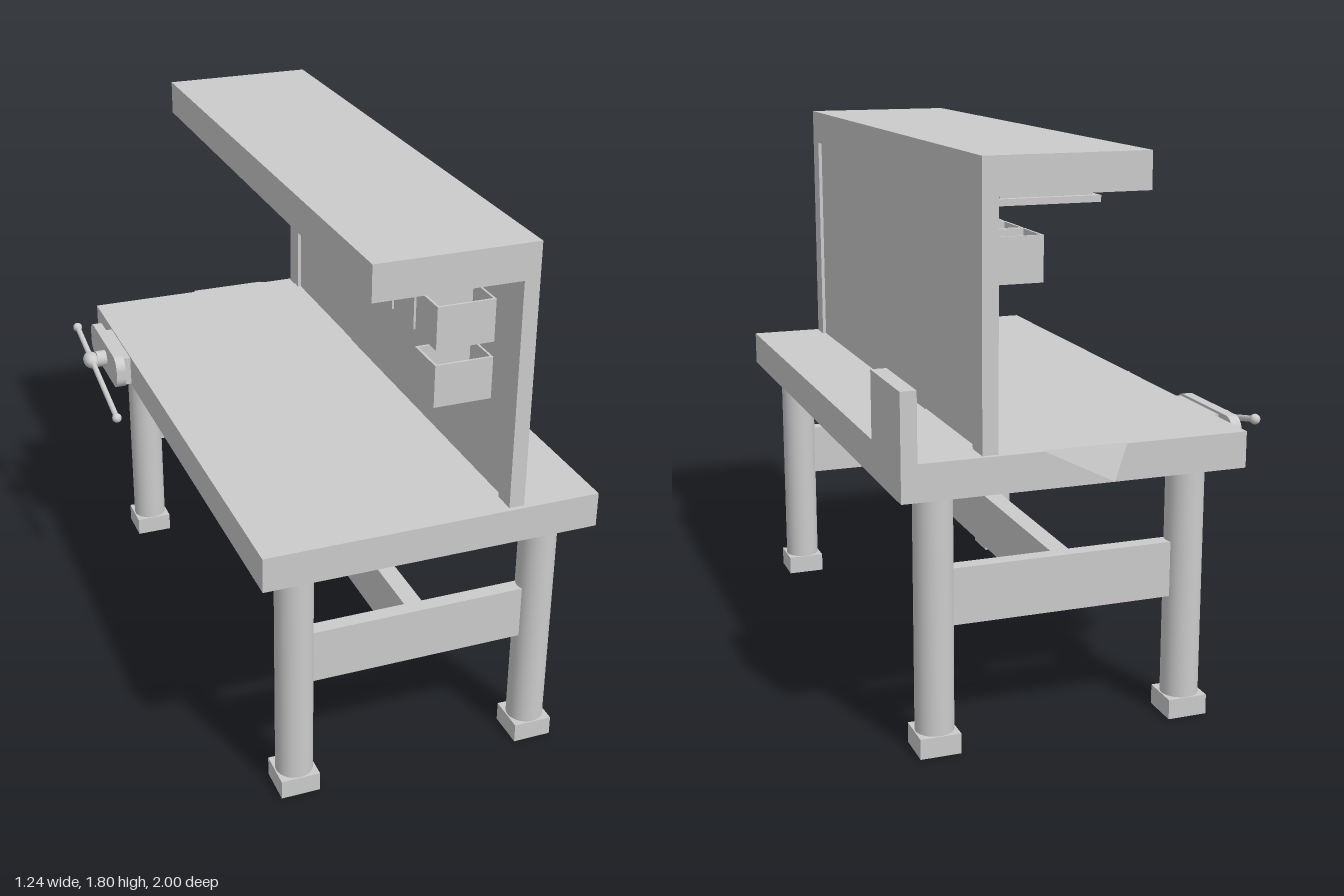
import * as THREE from 'three';

const grey = new THREE.MeshStandardMaterial({ color: 0xcccccc });
const thin = new THREE.MeshStandardMaterial({ color: 0xcccccc, side: THREE.DoubleSide });

export function createModel() {
  const model = new THREE.Group();

  const add = (name, geometry, material = grey, parent = model) => {
    const mesh = new THREE.Mesh(geometry, material);
    mesh.name = name;
    parent.add(mesh);
    return mesh;
  };
  // Box given by its limits on each axis
  const box = (name, [x0, x1], [y0, y1], [z0, z1], parent = model) => {
    const mesh = add(name, new THREE.BoxGeometry(x1 - x0, y1 - y0, z1 - z0), grey, parent);
    mesh.position.set((x0 + x1) / 2, (y0 + y1) / 2, (z0 + z1) / 2);
    return mesh;
  };
  // Round bar along x
  const barX = (name, radius, x0, x1, y, z, parent) => {
    const mesh = add(name, new THREE.CylinderGeometry(radius, radius, x1 - x0, 20), grey, parent);
    mesh.rotation.z = Math.PI / 2;
    mesh.position.set((x0 + x1) / 2, y, z);
  };
  // Flat sheet lying on the bench, corners as [x, z]
  const sheet = (name, corners, y) => {
    const shape = new THREE.Shape(corners.map(([x, z]) => new THREE.Vector2(x, -z)));
    const mesh = add(name, new THREE.ShapeGeometry(shape), thin);
    mesh.rotation.x = -Math.PI / 2;
    mesh.position.y = y;
  };

  // Bench top and its raised end guard
  box('benchTop', [-0.48, 0.62], [0.83, 0.945], [-0.97, 1]);
  box('endGuard', [0.57, 0.62], [0.945, 1.16], [-0.97, -0.67]);

  // Legs with square feet, and the cross rails between them
  for (const z of [0.88, -0.84]) {
    for (const x of [-0.34, 0.485]) {
      const leg = add('leg', new THREE.CylinderGeometry(0.061, 0.061, 0.8, 32));
      leg.position.set(x, 0.435, z);
      box('foot', [x - 0.065, x + 0.065], [0, 0.065], [z - 0.065, z + 0.065]);
    }
    box('crossRail', [-0.29, 0.435], [0.4, 0.58], [z - 0.025, z + 0.025]);
  }
  box('longStretcher', [0.04, 0.1], [0.4, 0.58], [-0.82, 0.86]);

  // Back wall: two posts, a recessed panel and the canopy
  box('wallPost', [0.32, 0.37], [0.945, 1.69], [0.91, 0.985]);
  box('wallPost', [0.32, 0.37], [0.945, 1.69], [-0.955, -0.87]);
  box('wallPanel', [0.332, 0.358], [0.945, 1.69], [-0.87, 0.91]);
  box('canopy', [-0.15, 0.37], [1.69, 1.805], [-0.955, 0.985]);

  // Lamp below the canopy
  box('lampHousing', [-0.03, 0.26], [1.665, 1.69], [-0.8, 0.83]);
  box('lampDiffuser', [-0.05, 0.27], [1.645, 1.665], [-0.82, 0.85]);

  // Open storage bins: a full upper row and one below
  const bin = (y, z) => {
    const group = new THREE.Group();
    group.name = 'storageBin';
    const t = 0.008, w = 0.15, h = 0.14, x0 = 0.14, x1 = 0.333;
    box('binFloor', [x0, x1], [0, t], [0, w], group);
    box('binFront', [x0, x0 + t], [t, h], [0, w], group);
    box('binBack', [x1 - t, x1], [t, h], [0, w], group);
    box('binSide', [x0 + t, x1 - t], [t, h], [0, t], group);
    box('binSide', [x0 + t, x1 - t], [t, h], [w - t, w], group);
    group.position.set(0, y, z);
    model.add(group);
  };
  for (let i = 0; i < 10; i++) bin(1.42, 0.65 - i * 0.166);
  bin(1.23, 0.65);

  // Work mat, large drawing with its corner hanging over the edge, set square
  sheet('workMat', [[-0.34, -0.05], [0.2, -0.05], [0.2, 0.8], [-0.33, 0.8]], 0.947);
  sheet('drawing', [[0.1, 0.17], [-0.48, -0.12], [-0.08, -0.972], [0.19, -0.972], [0.55, -0.79]], 0.949);
  sheet('setSquare', [[-0.36, -0.75], [-0.2, -0.755], [-0.35, -0.44]], 0.952);
  const flap = new THREE.BufferGeometry();
  flap.setAttribute('position', new THREE.Float32BufferAttribute(
    [-0.08, 0.949, -0.972, 0.19, 0.949, -0.972, -0.03, 0.84, -1], 3));
  flap.computeVertexNormals();
  add('drawingFlap', flap, thin);

  // Vise: jaws, screw, hub and a tilted handle with end knobs
  const vise = new THREE.Group();
  vise.name = 'vise';
  model.add(vise);
  box('fixedJaw', [-0.505, -0.48], [0.835, 0.94], [-0.74, -0.47], vise);
  const jawShape = new THREE.Shape();
  const r = 0.045, a = 0.15, h = 0.06;
  jawShape.absarc(a, h - r, r, 0, Math.PI / 2);
  jawShape.absarc(-a, h - r, r, Math.PI / 2, Math.PI);
  jawShape.absarc(-a, r - h, r, Math.PI, Math.PI * 1.5);
  jawShape.absarc(a, r - h, r, Math.PI * 1.5, Math.PI * 2);
  const jaw = add('movingJaw', new THREE.ExtrudeGeometry(jawShape,
    { depth: 0.034, bevelEnabled: false, curveSegments: 8 }), grey, vise);
  jaw.rotation.y = Math.PI / 2;
  jaw.position.set(-0.54, 0.888, -0.635);
  barX('viseScrew', 0.016, -0.6, -0.49, 0.888, -0.61, vise);
  barX('viseHub', 0.03, -0.575, -0.54, 0.888, -0.61, vise);
  const hub = add('handleHub', new THREE.SphereGeometry(0.029, 20, 14), grey, vise);
  hub.scale.z = 1.5;
  hub.position.set(-0.594, 0.888, -0.61);

  const ends = [new THREE.Vector3(-0.594, 0.935, -0.815), new THREE.Vector3(-0.594, 0.822, -0.245)];
  add('viseHandle', new THREE.TubeGeometry(new THREE.LineCurve3(...ends), 1, 0.01, 14), grey, vise);
  for (const end of ends) {
    add('handleKnob', new THREE.SphereGeometry(0.017, 16, 12), grey, vise).position.copy(end);
  }

  return model;
}
